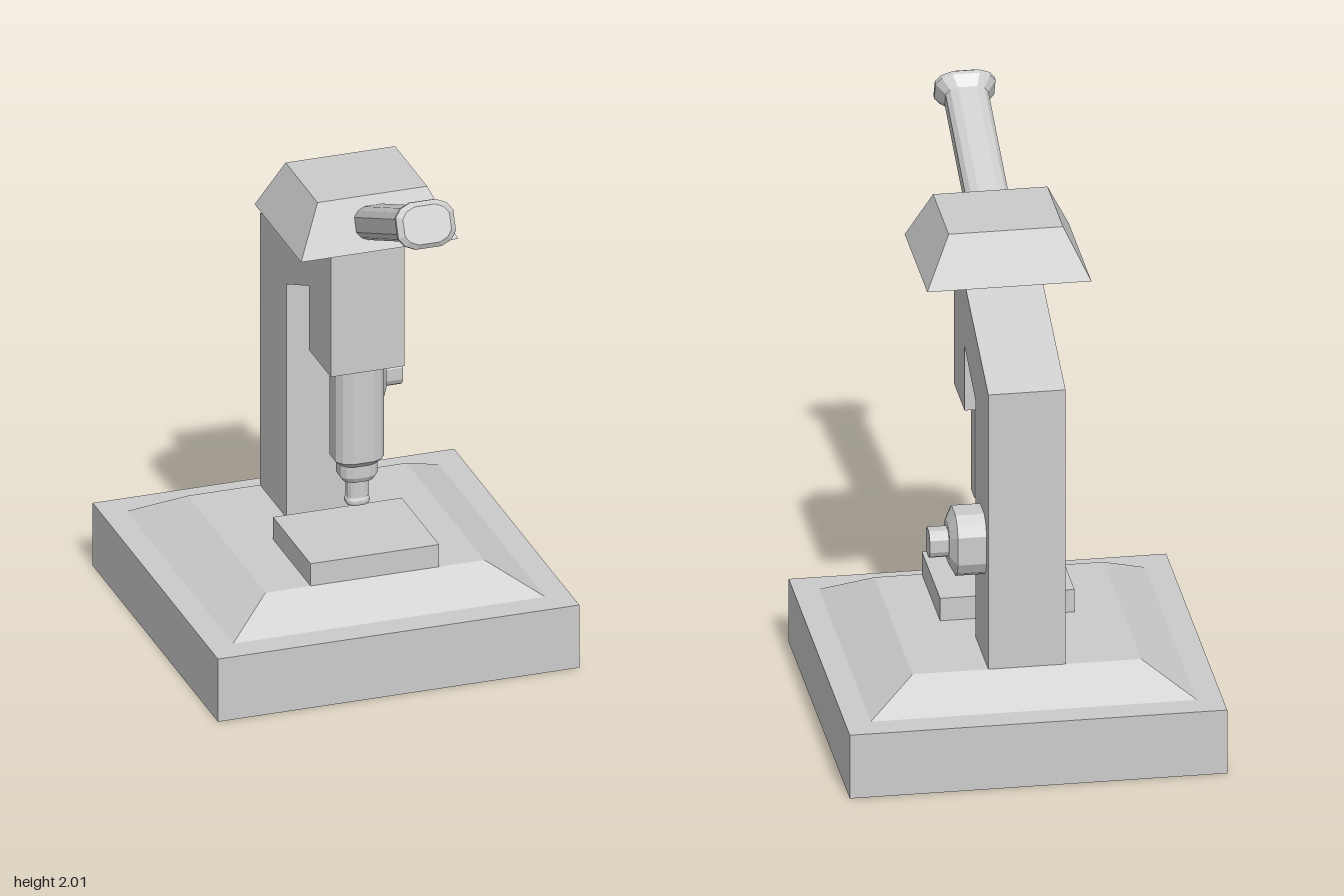
import * as THREE from 'three';

const material = new THREE.MeshStandardMaterial({ color: 0xcccccc, flatShading: true });

function part(name, geometry) {
  const mesh = new THREE.Mesh(geometry, material);
  mesh.name = name;
  return mesh;
}

// Block between two levels; each level is [y, halfWidth, backZ, frontZ]
function block(name, low, high) {
  const g = new THREE.BoxGeometry(2, 2, 2);
  const p = g.attributes.position;
  for (let i = 0; i < p.count; i++) {
    const [y, w, back, front] = p.getY(i) < 0 ? low : high;
    p.setXYZ(i, Math.sign(p.getX(i)) * w, y, p.getZ(i) < 0 ? back : front);
  }
  return part(name, g);
}

// Rounded-square section, running from +z towards +x
const quarter = [[0.45, 1], [0.8, 0.8], [1, 0.45]];
const ring = [];
for (let k = 0; k < 4; k++) {
  for (const [x, z] of quarter) {
    ring.push([[x, z], [z, -x], [-x, -z], [-z, x]][k]);
  }
}

// Turned part with the rounded-square section, narrower in z
function turned(name, profile, depth) {
  const g = new THREE.LatheGeometry(profile.map(([r, y]) => new THREE.Vector2(r, y)), 12);
  const p = g.attributes.position;
  for (let i = 0; i < p.count; i++) {
    const s = Math.floor(i / profile.length) % 12;
    const r = profile[i % profile.length][0];
    p.setX(i, r * ring[s][0]);
    p.setZ(i, r * ring[s][1] * depth);
  }
  return part(name, g);
}

export function createModel() {
  const model = new THREE.Group();
  model.name = 'microscope';

  // Base, sloped plinth and specimen stage
  model.add(block('base', [0, 0.66, -0.83, 0.49], [0.24, 0.66, -0.83, 0.49]));
  model.add(block('plinth', [0.24, 0.57, -0.73, 0.39], [0.34, 0.4, -0.58, 0.24]));
  model.add(block('stage', [0.34, 0.235, -0.155, 0.24], [0.425, 0.235, -0.155, 0.24]));

  // Column, sloping arm and nose in one side profile (z, y)
  const outline = [
    [-0.58, 0.34], [-0.3, 0.34], [-0.3, 1.235], [-0.065, 1.335], [-0.065, 1.09],
    [0.165, 1.09], [0.165, 1.575], [-0.065, 1.575], [-0.58, 1.38],
  ];
  const shape = new THREE.Shape(outline.map(([z, y]) => new THREE.Vector2(z, y)));
  const armGeometry = new THREE.ExtrudeGeometry(shape, { depth: 0.27, bevelEnabled: false });
  armGeometry.translate(0, 0, -0.135).rotateY(-Math.PI / 2);
  model.add(part('arm', armGeometry));

  // Head: flares out from the nose, then tapers to the top
  const head = new THREE.Group();
  head.name = 'head';
  const rim = [1.61, 0.287, -0.2, 0.29];
  head.add(block('headUnderside', [1.572, 0.135, -0.065, 0.165], rim));
  head.add(block('headTop', rim, [1.79, 0.2, -0.125, 0.213]));
  model.add(head);

  // Objective barrel with stepped tip
  const objective = turned('objective', [
    [0, 0.54], [0.038, 0.54], [0.042, 0.548], [0.042, 0.558], [0.037, 0.568],
    [0.037, 0.632], [0.055, 0.636], [0.067, 0.655], [0.067, 0.7], [0.088, 0.72],
    [0.088, 1.09], [0, 1.09],
  ], 0.82);
  objective.position.z = 0.05;
  model.add(objective);

  // Focus knob on the left side of the column
  const knob = turned('focusKnob', [
    [0, 0], [0.114, 0], [0.114, 0.105], [0.072, 0.128], [0.05, 0.128], [0.05, 0.195], [0, 0.195],
  ], 0.87);
  knob.rotation.z = -Math.PI / 2;
  knob.position.set(0.13, 0.775, -0.445);
  model.add(knob);

  // Tilted eyepiece with flared end
  const eyepiece = turned('eyepiece', [
    [0, 0], [0.075, 0], [0.075, 0.575], [0.105, 0.615], [0.105, 0.63], [0.085, 0.645], [0, 0.645],
  ], 0.78);
  eyepiece.rotation.x = THREE.MathUtils.degToRad(66.5);
  eyepiece.position.set(0, 1.68, 0.2);
  model.add(eyepiece);

  return model;
}
